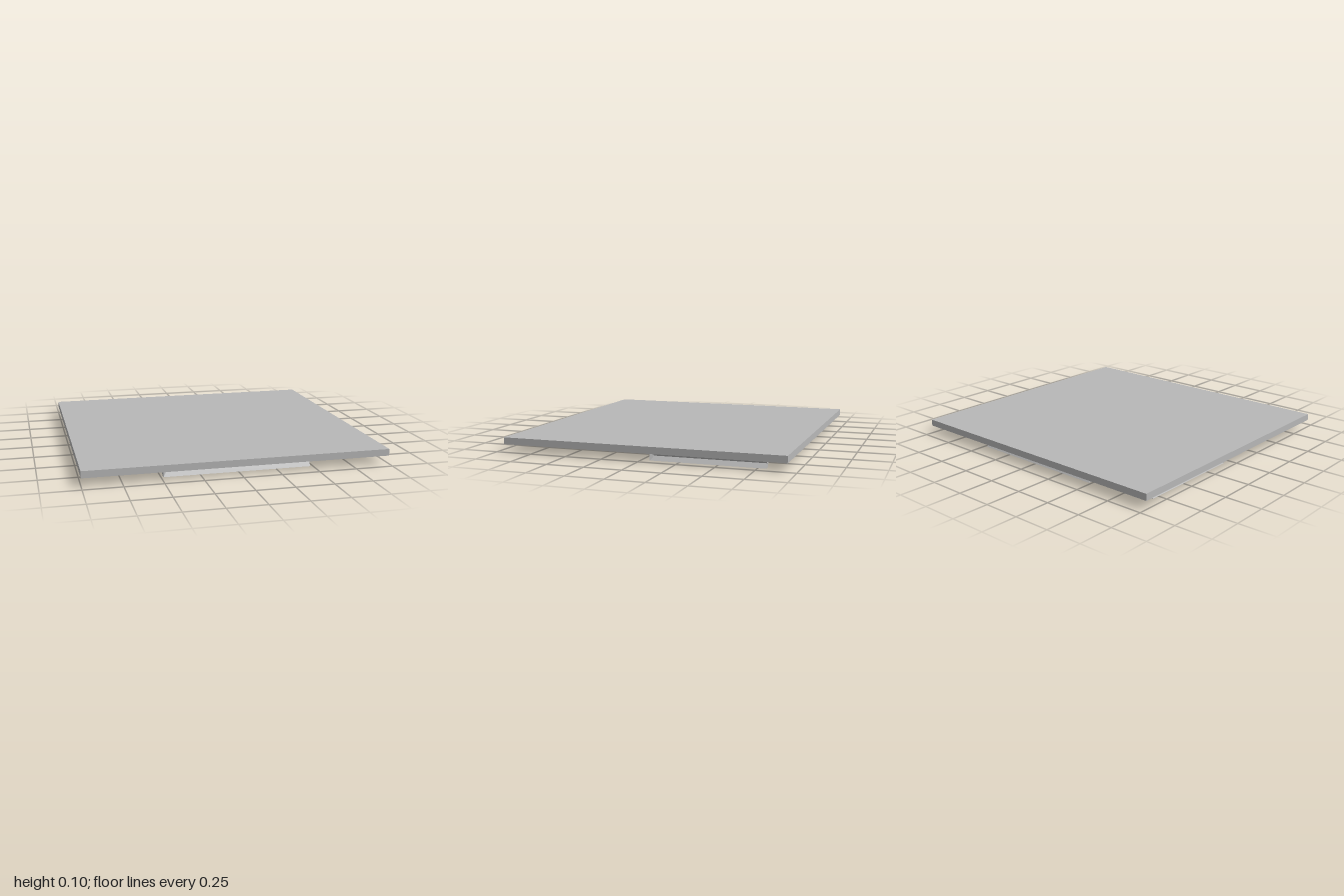
import * as THREE from 'three';

const UNDERSIDE = 0.055, TOP = 0.1;

// Wedge rail with a V groove in its outer face, closed at its start and open at its end.
// start: outer corner on the ground; inward and along: unit directions in the plane.
function railGeometry(start, inward, along, length) {
  const section = (s, notch) =>
    [[0, UNDERSIDE], [notch, 0.028], [0, 0], [0.035, 0], [0.075, UNDERSIDE]].map(([u, y]) =>
      start.clone().addScaledVector(inward, u).addScaledVector(along, s).setY(y));
  const rings = [section(0, 0), section(0.022, 0.024), section(length, 0.024)];
  const up = new THREE.Vector3(0, 1, 0);
  const flip = inward.clone().cross(up).dot(along) < 0;
  const pos = [];
  const tri = (a, b, c) => {
    for (const p of flip ? [a, c, b] : [a, b, c]) pos.push(p.x, p.y, p.z);
  };
  // side walls
  for (let k = 0; k < 2; k++) {
    const r = rings[k], q = rings[k + 1];
    for (let i = 0; i < 5; i++) {
      const j = (i + 1) % 5;
      if (k === 0 && i === 1) {
        // lower groove wall splits the other way so the groove end is a clean slope
        tri(r[1], r[2], q[1]);
        tri(r[2], q[2], q[1]);
      } else {
        tri(r[i], r[j], q[j]);
        tri(r[i], q[j], q[i]);
      }
    }
  }
  // end caps
  const [a, , b] = rings;
  for (let i = 0; i < 3; i++) {
    tri(a[4], a[i + 1], a[i]);
    tri(b[4], b[i], b[i + 1]);
  }
  const g = new THREE.BufferGeometry();
  g.setAttribute('position', new THREE.Float32BufferAttribute(pos, 3));
  g.computeVertexNormals();
  return g;
}

export function createModel() {
  const group = new THREE.Group();
  const grey = new THREE.MeshStandardMaterial({ color: 0xb8b8b8 });
  grey.name = 'plain grey';
  const add = (name, geometry) => {
    const mesh = new THREE.Mesh(geometry, grey);
    mesh.name = name;
    group.add(mesh);
    return mesh;
  };

  // flat panel
  add('panel', new THREE.BoxGeometry(2, TOP - UNDERSIDE, 1.89)).position.y = (TOP + UNDERSIDE) / 2;

  // rails under the panel
  const v = (x, z) => new THREE.Vector3(x, 0, z);
  for (const side of [1, -1]) {
    add(side > 0 ? 'frontRail' : 'backRail',
      railGeometry(v(-0.485, 0.875 * side), v(0, -side), v(1, 0), 0.967));
    add(side > 0 ? 'leftRail' : 'rightRail',
      railGeometry(v(0.935 * side, -0.055), v(-side, 0), v(0, -1), 0.747));
  }
  return group;
}
